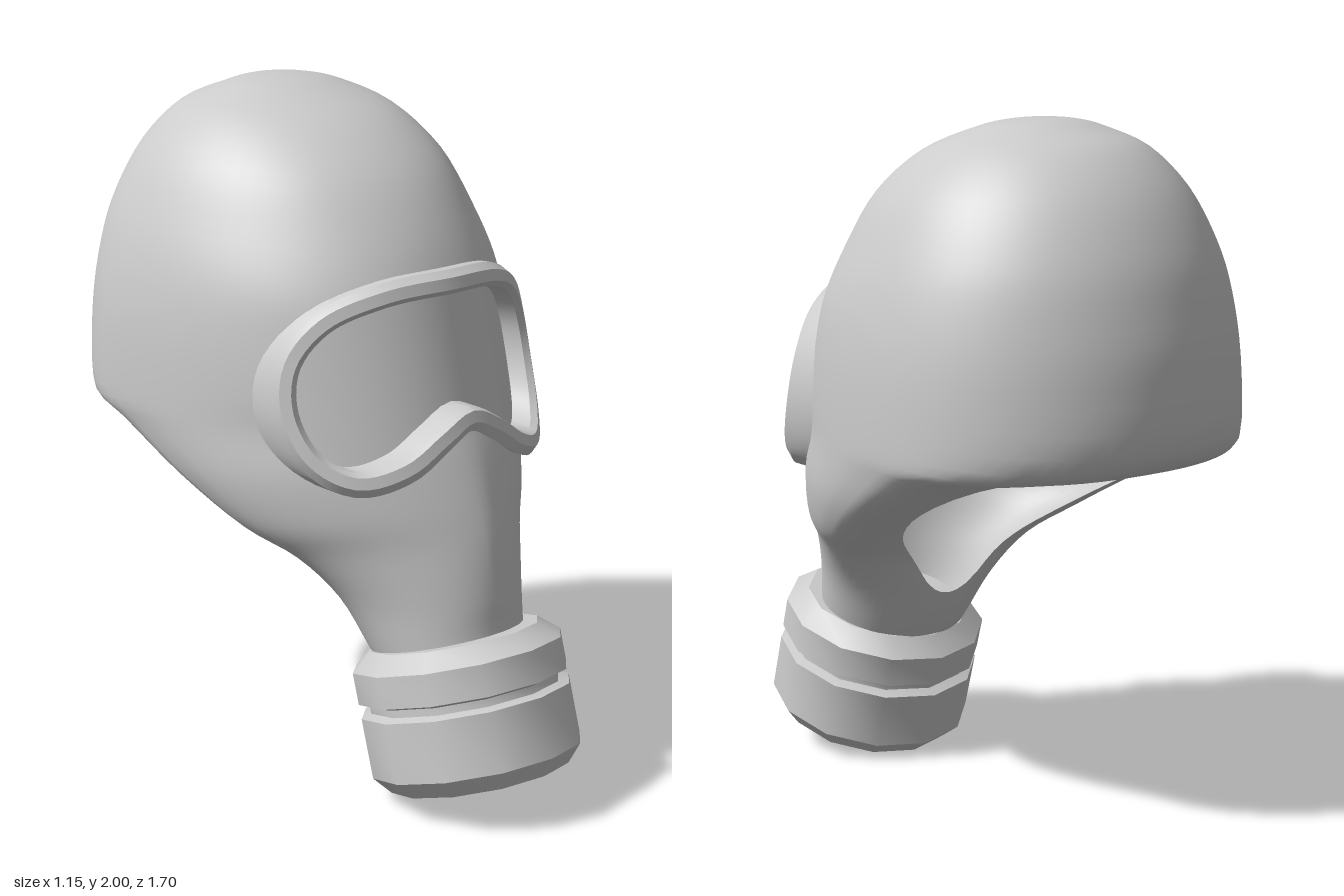
import * as THREE from 'three';
import { mergeVertices, toCreasedNormals } from 'three/addons/utils/BufferGeometryUtils.js';

const V3 = (x, y, z) => new THREE.Vector3(x, y, z);
const material = new THREE.MeshStandardMaterial({ color: 0xcccccc, side: THREE.DoubleSide });

// Triangles of a grid of points fn(row 0..1, column 0..1), cut away where keep(point) < 0
function gridGeometry(rows, cols, fn, keep) {
  const out = [];
  const addTriangle = (tri) => {
    const f = tri.map((p) => (keep ? keep(p) : 1));
    const poly = [];
    tri.forEach((p, i) => {
      const k = (i + 1) % 3;
      if (f[i] >= 0) poly.push(p);
      if (f[i] >= 0 !== f[k] >= 0) poly.push(p.clone().lerp(tri[k], f[i] / (f[i] - f[k])));
    });
    for (let i = 1; i + 1 < poly.length; i++)
      for (const p of [poly[0], poly[i], poly[i + 1]]) out.push(p.x, p.y, p.z);
  };
  const pts = [];
  for (let i = 0; i <= rows; i++) {
    pts.push([]);
    for (let j = 0; j <= cols; j++) pts[i].push(fn(i / rows, j / cols));
  }
  for (let i = 0; i < rows; i++) {
    for (let j = 0; j < cols; j++) {
      const a = pts[i][j], b = pts[i][j + 1], c = pts[i + 1][j + 1], d = pts[i + 1][j];
      addTriangle([a, b, c]);
      addTriangle([a, c, d]);
    }
  }
  const g = new THREE.BufferGeometry();
  g.setAttribute('position', new THREE.Float32BufferAttribute(out, 3));
  const merged = mergeVertices(g, 1e-4);
  merged.computeVertexNormals();
  return merged;
}

// Curved face on which the goggles lie
const faceZ = (x, y) => 0.4 + 0.25 * (1.5 - y) - 1.13 * x * x;
const faceNormal = (x) => V3(2.26 * x, 0.25, 1).normalize();

// Goggle outline: half of it, then mirrored
const half = [[0, 1.49], [0.2, 1.475], [0.35, 1.41], [0.43, 1.3], [0.45, 1.17],
  [0.415, 1.04], [0.33, 0.98], [0.21, 1.01], [0.1, 1.08], [0, 1.125]];
const loop = [...half, ...half.slice(1, -1).reverse().map(([x, y]) => [-x, y])];
const outline = new THREE.CatmullRomCurve3(loop.map(([x, y]) => V3(x, y, faceZ(x, y))), true);
const outlinePoints = outline.getPoints(80);

// Signed distance to the goggle outline in x and y, positive outside
function goggleDistance(p) {
  let best = Infinity, inside = false;
  for (let i = 0; i < 80; i++) {
    const a = outlinePoints[i], b = outlinePoints[i + 1];
    const dx = b.x - a.x, dy = b.y - a.y;
    const t = THREE.MathUtils.clamp(((p.x - a.x) * dx + (p.y - a.y) * dy) / (dx * dx + dy * dy), 0, 1);
    best = Math.min(best, Math.hypot(p.x - a.x - t * dx, p.y - a.y - t * dy));
    if (a.y > p.y !== b.y > p.y && p.x < a.x + (dx * (p.y - a.y)) / dy) inside = !inside;
  }
  return inside ? -best : best;
}

// Hood: sections from snout to crown
// [front z, front y, back z, back y, half width, widest place, squareness of front, of back]
const sections = [
  [0.66, 0.40, 0.30, 0.30, 0.20, 0.5, 2, 2],
  [0.63, 0.51, 0.20, 0.42, 0.23, 0.5, 2, 2],
  [0.62, 0.63, 0.12, 0.57, 0.275, 0.58, 1.85, 2.1],
  [0.60, 0.78, 0.07, 0.69, 0.36, 0.7, 1.65, 2.5],
  [0.57, 0.90, -0.02, 0.78, 0.46, 0.78, 1.65, 3.2],
  [0.53, 1.02, -0.22, 0.90, 0.53, 0.76, 1.75, 3.8],
  [0.49, 1.12, -0.52, 1.03, 0.565, 0.7, 1.9, 3.3],
  [0.46, 1.22, -0.81, 1.09, 0.575, 0.61, 2.1, 2.2],
  [0.43, 1.35, -0.845, 1.33, 0.57, 0.59, 2.1, 2],
  [0.39, 1.48, -0.82, 1.52, 0.545, 0.58, 2.1, 2],
  [0.32, 1.63, -0.78, 1.66, 0.5, 0.57, 2, 2],
  [0.21, 1.78, -0.70, 1.81, 0.425, 0.55, 2, 2],
  [0.05, 1.90, -0.59, 1.92, 0.315, 0.53, 2, 2],
  [-0.13, 1.97, -0.47, 1.97, 0.19, 0.5, 2, 2],
  [-0.22, 1.992, -0.40, 1.992, 0.1, 0.5, 2, 2],
  [-0.31, 2.0, -0.31, 2.0, 0, 0.5, 2, 2],
];

function buildHood() {
  const through = (x, y, z) => new THREE.CatmullRomCurve3(
    sections.map((s) => V3(s[x], s[y], s[z])), false, 'catmullrom');
  const front = through(4, 1, 0), back = through(5, 3, 2), shape = through(5, 6, 7);
  const point = (u, v) => {
    const f = front.getPoint(u), b = back.getPoint(u), q = shape.getPoint(u);
    const c = Math.cos(v * 2 * Math.PI), s = Math.sin(v * 2 * Math.PI);
    const e = 2 / (c < 0 ? q.z : q.y);
    const reach = Math.pow(Math.abs(c), e);
    const k = c < 0 ? q.x + (1 - q.x) * reach : q.x * (1 - reach);
    const x = f.x * Math.sign(s) * Math.pow(Math.abs(s), e);
    return V3(x, f.y + (b.y - f.y) * k, f.z + (b.z - f.z) * k);
  };
  // openings for the neck and the goggles
  const keep = (p) => {
    const neck = p.y < 1.3 ? Math.hypot(p.x / 0.35, (p.z + 0.26) / 0.39) - 1 : 1;
    const eyes = p.z > 0.1 && p.y > 0.85 && p.y < 1.6 ? goggleDistance(p) : 1;
    return Math.min(neck, eyes);
  };
  return gridGeometry(60, 64, point, keep);
}

// Goggle frame: a bevelled profile (outward, forward) swept round the outline
function buildFrame() {
  const profile = [[0.038, -0.1], [0.038, 0.008], [0.015, 0.03], [-0.018, 0.03],
    [-0.03, 0.01], [-0.034, -0.09], [0, -0.1], [0.038, -0.1]];
  const g = gridGeometry(96, profile.length - 1, (u, v) => {
    const p = outline.getPointAt(u % 1);
    const n = faceNormal(p.x);
    const side = n.clone().cross(outline.getTangentAt(u % 1)).normalize();
    const [o, d] = profile[Math.round(v * (profile.length - 1))];
    // the bevel follows the face, the walls run straight back
    return p.addScaledVector(side, o).addScaledVector(d > 0 ? n : V3(0, 0, 1), d);
  });
  return toCreasedNormals(g, 0.4);
}

export function createModel() {
  const model = new THREE.Group();
  const add = (name, geometry) => {
    const mesh = new THREE.Mesh(geometry, material);
    mesh.name = name;
    model.add(mesh);
    return mesh;
  };

  add('hood', buildHood());
  add('goggleFrame', buildFrame());

  // Curved lens set back inside the frame
  add('lens', gridGeometry(24, 36, (u, v) => {
    const x = v - 0.5, y = 0.92 + u * 0.62;
    return V3(x, y, faceZ(x, y) - 0.06);
  }, (p) => -goggleDistance(p)));

  // Twelve-sided filter canister with an inlet below and a groove round it
  const profile = [[0, 0.05], [0.12, 0.05], [0.135, 0], [0.265, 0], [0.31, 0.052], [0.31, 0.226],
    [0.28, 0.236], [0.28, 0.258], [0.31, 0.268], [0.31, 0.36], [0.25, 0.41], [0.17, 0.41]];
  const lathe = new THREE.LatheGeometry(profile.map(([r, h]) => new THREE.Vector2(r, h)), 12);
  const canister = add('filterCanister', toCreasedNormals(lathe, 0.6));
  canister.position.set(0, 0.077, 0.567);
  canister.rotation.x = -0.289;

  return model;
}
